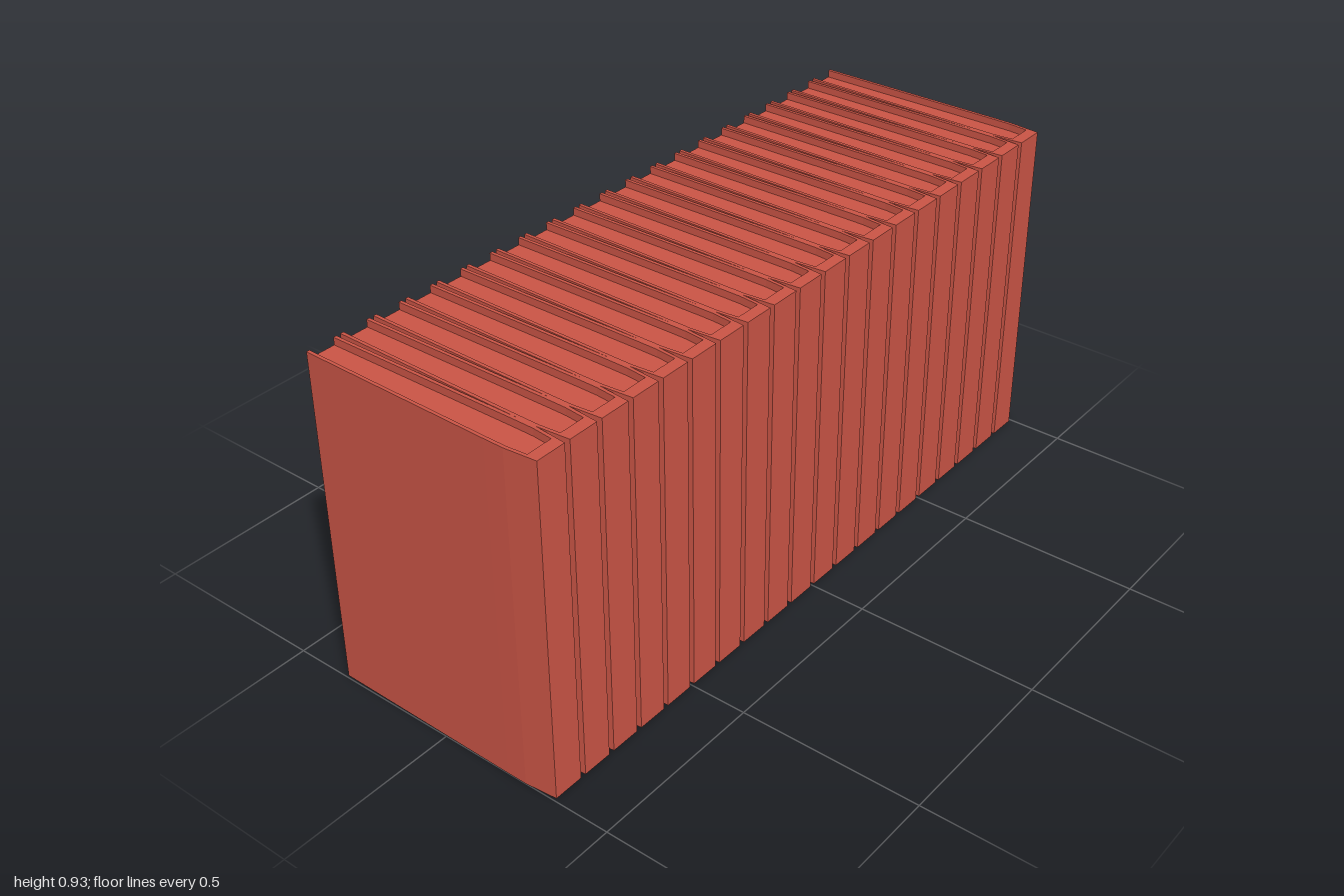
import * as THREE from 'three';

const COUNT = 20, HEIGHT = 0.93, PITCH = 0.1;
const RECESS = 0.02, BOARD = 0.009;

// Upright prism from a plan outline given as [x, z] points
function prism(points, height) {
  const shape = new THREE.Shape(points.map(([x, z]) => new THREE.Vector2(x, z)));
  const geometry = new THREE.ExtrudeGeometry(shape, { depth: height, bevelEnabled: false });
  return geometry.rotateX(-Math.PI / 2);
}

const mirror = (side) => side.map(([x, z]) => [x, -z]).reverse();

export function createModel() {
  const group = new THREE.Group();
  const material = new THREE.MeshStandardMaterial({ color: 0xc95445, flatShading: true });

  // One side of the outline: narrow fore edge, thickest by the hinge, tapered spine
  const outer = [[-0.342, 0.044], [0.2, 0.05], [0.255, 0.05], [0.342, 0.042]];
  const inner = [
    [-0.342, 0.044 - BOARD], [0.2, 0.05 - BOARD],
    [0.255, 0.05 - BOARD], [0.31, 0.045 - BOARD],
  ];

  // U-shaped cover, open at the fore edge, and the page block inside it
  const coverGeometry = prism(
    [...mirror(outer), ...mirror(mirror(outer)).map(([x, z]) => [x, -z]).reverse().map(([x, z]) => [x, -z]).reverse()]
      .length ? [...outer, ...mirror(outer), ...mirror(inner).reverse(), ...[...inner].reverse()] : [],
    HEIGHT
  );
  const pageGeometry = prism([...inner, ...mirror(inner)], HEIGHT - RECESS);

  // Row of identical books
  for (let i = 0; i < COUNT; i++) {
    const book = new THREE.Group();
    book.name = `book${i + 1}`;
    const cover = new THREE.Mesh(coverGeometry, material);
    cover.name = 'cover';
    const pages = new THREE.Mesh(pageGeometry, material);
    pages.name = 'pages';
    book.add(cover, pages);
    book.position.z = (i - (COUNT - 1) / 2) * PITCH;
    group.add(book);
  }
  return group;
}
